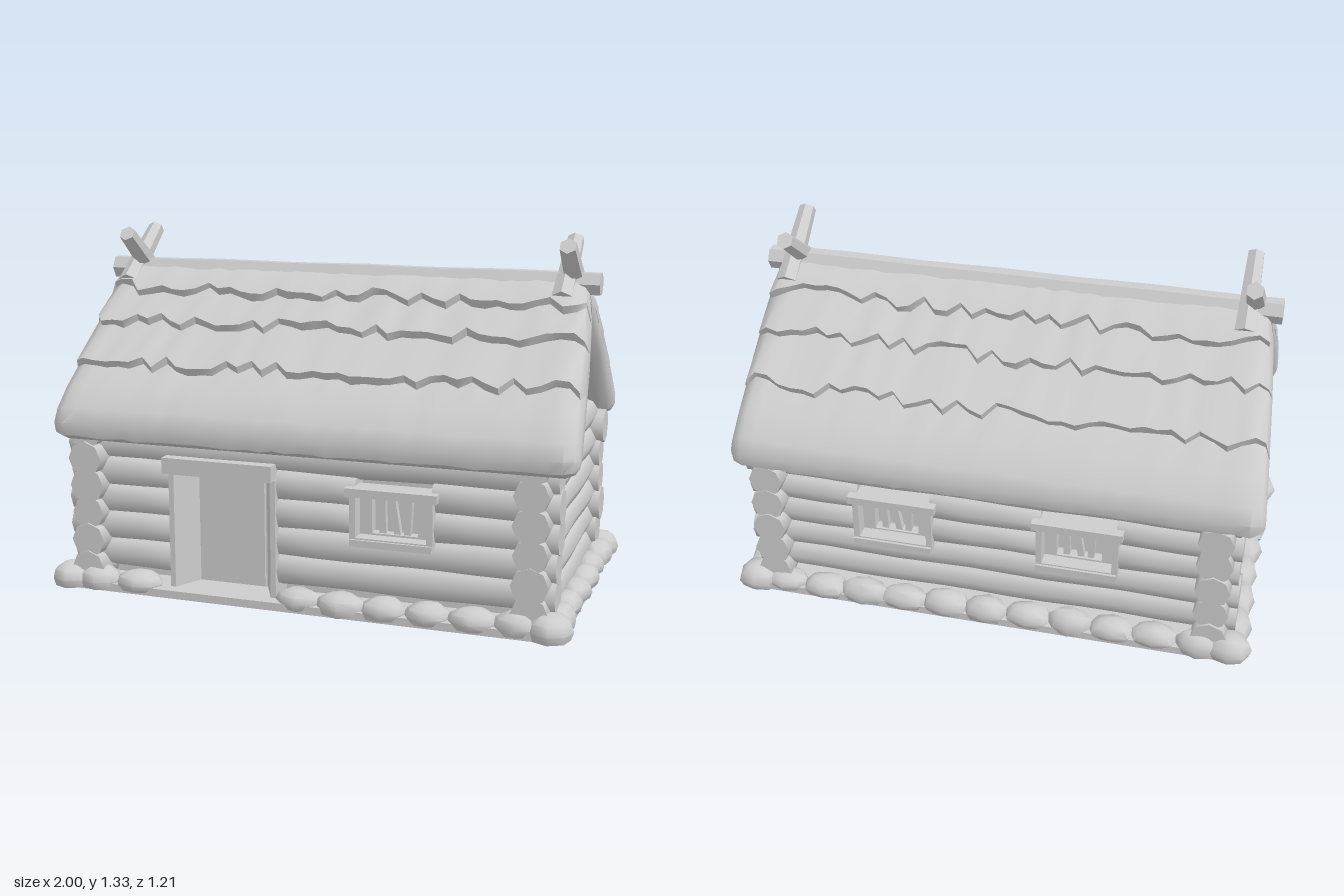
import * as THREE from 'three';
import { toCreasedNormals } from 'three/addons/utils/BufferGeometryUtils.js';

export function createModel() {
  const house = new THREE.Group();
  house.name = 'logCabin';
  const clay = new THREE.MeshStandardMaterial({ color: 0xcccccc, side: THREE.DoubleSide });
  clay.name = 'pale grey';

  let seed = 7;
  const rand = (a, b) => {
    seed = (seed * 16807) % 2147483647;
    return a + (b - a) * (seed / 2147483647);
  };
  const add = (geo, name, parent = house) => {
    const mesh = new THREE.Mesh(geo, clay);
    mesh.name = name;
    parent.add(mesh);
    return mesh;
  };
  const box = (name, x0, x1, y0, y1, z0, z1, parent) =>
    add(new THREE.BoxGeometry(x1 - x0, y1 - y0, z1 - z0)
      .translate((x0 + x1) / 2, (y0 + y1) / 2, (z0 + z1) / 2), name, parent);

  // Log between two points, slightly uneven along its length
  const beam = (name, a, b, r0, r1, sides, wobble = 0) => {
    const A = new THREE.Vector3(...a), B = new THREE.Vector3(...b);
    const dir = B.clone().sub(A), len = dir.length();
    const geo = new THREE.CylinderGeometry(r1, r0, len, sides, wobble ? Math.ceil(len / 0.15) : 1);
    const p = geo.attributes.position, bend = rand(0, 6);
    for (let i = 0; i < p.count; i++) {
      const k = 1 + wobble * Math.sin(p.getY(i) * 11 + bend);
      p.setXYZ(i, p.getX(i) * k, p.getY(i), p.getZ(i) * k);
    }
    geo.applyQuaternion(new THREE.Quaternion().setFromUnitVectors(new THREE.Vector3(0, 1, 0), dir.normalize()));
    geo.translate((a[0] + b[0]) / 2, (a[1] + b[1]) / 2, (a[2] + b[2]) / 2);
    geo.deleteAttribute('uv');
    return add(toCreasedNormals(geo, 0.9), name);
  };

  // Solid inside, also the back of the door and window recesses
  box('innerCore', -0.82, 0.82, 0.01, 0.64, -0.4, 0.4);

  // Long walls: each opening is [x0, x1, y0, y1]
  const frontOpenings = [[-0.5, -0.11, 0, 0.47], [0.2, 0.48, 0.28, 0.46]];
  const backOpenings = [[-0.48, -0.2, 0.28, 0.46], [0.22, 0.5, 0.28, 0.46]];
  for (const [side, openings] of [[1, frontOpenings], [-1, backOpenings]]) {
    for (let i = 0; i < 5; i++) {
      const y = 0.13 + 0.105 * i;
      let x = -rand(0.915, 0.935);
      const run = (x1) => beam('longWallLog', [x, y, 0.435 * side], [x1, y, 0.435 * side], 0.065, 0.065, 8, 0.04);
      for (const [x0, x1, y0, y1] of openings) {
        if (y < y0 || y > y1) continue;
        run(x0);
        x = x1;
      }
      run(rand(0.915, 0.935));
    }
  }

  // End walls
  for (const side of [-1, 1]) {
    for (let i = 0; i < 6; i++) {
      const y = 0.08 + 0.105 * i, x = 0.84 * side;
      beam('endWallLog', [x, y, -rand(0.53, 0.55)], [x, y, rand(0.53, 0.55)], 0.065, 0.065, 8, 0.04);
    }
    // Gable: upright below, leaning out to the ridge above
    const gx = 0.85 * side;
    const gable = new THREE.BufferGeometry();
    gable.setAttribute('position', new THREE.Float32BufferAttribute([
      gx, 0.6, 0.48, gx, 0.6, -0.48, gx, 0.83, -0.26,
      gx, 0.6, 0.48, gx, 0.83, -0.26, gx, 0.83, 0.26,
      gx, 0.83, 0.26, gx, 0.83, -0.26, 0.92 * side, 1.07, 0], 3));
    if (side < 0) gable.setIndex([0, 2, 1, 3, 5, 4, 6, 8, 7]);
    gable.computeVertexNormals();
    add(gable, 'gable');
  }

  // Door with slanted jambs and a heavy lintel
  for (const [name, s] of [['leftJamb', 1], ['rightJamb', -1]]) {
    const cx = -0.305;
    const plan = new THREE.Shape([[0.21, 0.51], [0.19, 0.51], [0.13, 0.39], [0.21, 0.39]]
      .map(([x, z]) => new THREE.Vector2(cx + s * x, -z)));
    add(new THREE.ExtrudeGeometry(plan, { depth: 0.46, bevelEnabled: false })
      .rotateX(-Math.PI / 2).translate(0, 0.01, 0), name);
  }
  box('doorPanel', -0.435, -0.175, 0.035, 0.47, 0.39, 0.415);
  box('threshold', -0.51, -0.1, 0, 0.03, 0.39, 0.53);
  box('lintel', -0.53, -0.1, 0.467, 0.527, 0.4, 0.535);

  // Barred windows
  const frameRing = (w, h, hw, hh, depth) => {
    const rect = (C, a, b) => new C([[-a, -b], [a, -b], [a, b], [-a, b]].map((q) => new THREE.Vector2(...q)));
    const shape = rect(THREE.Shape, w, h);
    shape.holes.push(rect(THREE.Path, hw, hh));
    return new THREE.ExtrudeGeometry(shape, { depth, bevelEnabled: false });
  };
  const addWindow = (x, turn) => {
    const win = new THREE.Group();
    win.name = 'window';
    add(frameRing(0.152, 0.095, 0.13, 0.075, 0.06).translate(0, 0, 0.455), 'outerFrame', win);
    add(frameRing(0.145, 0.09, 0.085, 0.068, 0.04).translate(0, 0, 0.42), 'innerFrame', win);
    box('windowHead', -0.168, 0.168, 0.075, 0.105, 0.43, 0.525, win);
    box('windowSill', -0.15, 0.15, -0.105, -0.08, 0.43, 0.525, win);
    [-0.05, -0.005, 0.045].forEach((bx, i) => {
      const bar = box('windowBar', -0.012, 0.012, -0.072, 0.072, 0.425, 0.45, win);
      bar.position.x = bx;
      bar.rotation.z = [0.03, 0.16, -0.05][i];
    });
    win.position.set(x, 0.365, 0);
    const holder = new THREE.Group();
    holder.name = 'windowHolder';
    holder.rotation.y = turn;
    holder.add(win);
    house.add(holder);
  };
  addWindow(0.34, 0);
  addWindow(0.34, Math.PI);
  addWindow(-0.36, Math.PI);

  // Roof half: cross-section [z, y, ragged] lofted along x, with rounded ends
  const lip = (z) => {
    const y = 1.165 - (z - 0.05) * 0.875;
    return [[z, y + 0.022, 1], [z - 0.012, y - 0.004, 1]];
  };
  const section = [[0, 1.18, 0], [0.05, 1.165, 0], ...lip(0.14), ...lip(0.265), ...lip(0.42),
    [0.5, 0.775, 0], [0.575, 0.7, 0], [0.603, 0.645, 0], [0.592, 0.595, 0], [0.55, 0.576, 0],
    [0.46, 0.59, 0], [0.39, 0.67, 0], [0.2, 0.85, 0], [0, 1.04, 0]];
  const roofHalf = () => {
    const stations = [[-1, 0], [-1, 0.35], [-0.985, 0.75], [-0.95, 1]];
    for (let i = 1; i < 38; i++) stations.push([-0.95 + 0.05 * i, 1]);
    stations.push([0.95, 1], [0.985, 0.75], [1, 0.35], [1, 0]);
    const pos = [], idx = [], n = section.length;
    const a = new THREE.Vector2(0, 1.11), d = new THREE.Vector2(0.545, -0.475);
    for (const [u, grow] of stations) {
      const slip = [0, 0, 0].map(() => rand(-0.022, 0.022));
      section.forEach(([z, y, ragged], k) => {
        const s = ragged ? slip[(k - 2) >> 1] : 0;
        const p = new THREE.Vector2(z + s, y - 0.875 * s + (k < 12 && k > 0 ? rand(-0.004, 0.004) : 0));
        const t = THREE.MathUtils.clamp(p.clone().sub(a).dot(d) / d.lengthSq(), 0, 1);
        const mid = a.clone().addScaledVector(d, t);
        p.lerpVectors(mid, p, grow);
        pos.push(u * (0.925 + 0.05 * Math.sqrt(t)) + 0.025 * t, p.y, p.x);
      });
    }
    for (let i = 0; i < stations.length - 1; i++) {
      for (let k = 0; k < n; k++) {
        const p = i * n + k, q = i * n + (k + 1) % n;
        idx.push(p, q, p + n, q, q + n, p + n);
      }
    }
    const geo = new THREE.BufferGeometry();
    geo.setAttribute('position', new THREE.Float32BufferAttribute(pos, 3));
    geo.setIndex(idx);
    return toCreasedNormals(geo, 0.8);
  };
  add(roofHalf(), 'frontRoof');
  add(roofHalf().rotateY(Math.PI), 'backRoof');

  // Ridge pole and crossed gable finials
  beam('ridgePole', [-0.965, 1.16, 0], [0.965, 1.16, 0], 0.046, 0.046, 6, 0.04);
  for (const side of [-1, 1]) {
    for (const s of [-1, 1]) {
      const x = side * 0.855 + s * 0.012;
      beam('crossedFinial', [x, 1.11, -0.1 * s], [x, 1.305, 0.15 * s], 0.042, 0.032, 6);
    }
  }

  // Foundation slab and rough stones around it
  box('foundation', -0.96, 0.96, 0, 0.03, -0.56, 0.56);
  const stone = (x, z, sx, sy, sz) => {
    const geo = new THREE.SphereGeometry(1, 8, 6);
    const p = geo.attributes.position, ph = rand(0, 6);
    for (let i = 0; i < p.count; i++) {
      const X = p.getX(i), Y = p.getY(i), Z = p.getZ(i);
      const k = 1 + 0.1 * Math.sin(X * 4 + ph) * Math.cos(Z * 5 + ph);
      p.setXYZ(i, x + sx * X * k, Math.max(0, 0.035 + sy * Y * k), z + sz * Z * k);
    }
    geo.deleteAttribute('uv');
    add(toCreasedNormals(geo, 0.9), 'foundationStone');
  };
  for (const side of [-1, 1]) {
    for (let i = 0; i < 11; i++) {
      const x = -0.8 + 0.16 * i;
      if (side > 0 && x > -0.55 && x < -0.05) continue;
      stone(x, side * rand(0.515, 0.53), rand(0.085, 0.1), rand(0.042, 0.058), 0.06);
    }
    for (let i = 0; i < 6; i++) {
      stone(side * rand(0.915, 0.93), -0.4 + 0.16 * i, 0.06, rand(0.045, 0.06), rand(0.085, 0.1));
    }
    for (const s of [-1, 1]) stone(side * 0.915, s * 0.52, 0.083, 0.06, 0.078);
  }
  return house;
}
